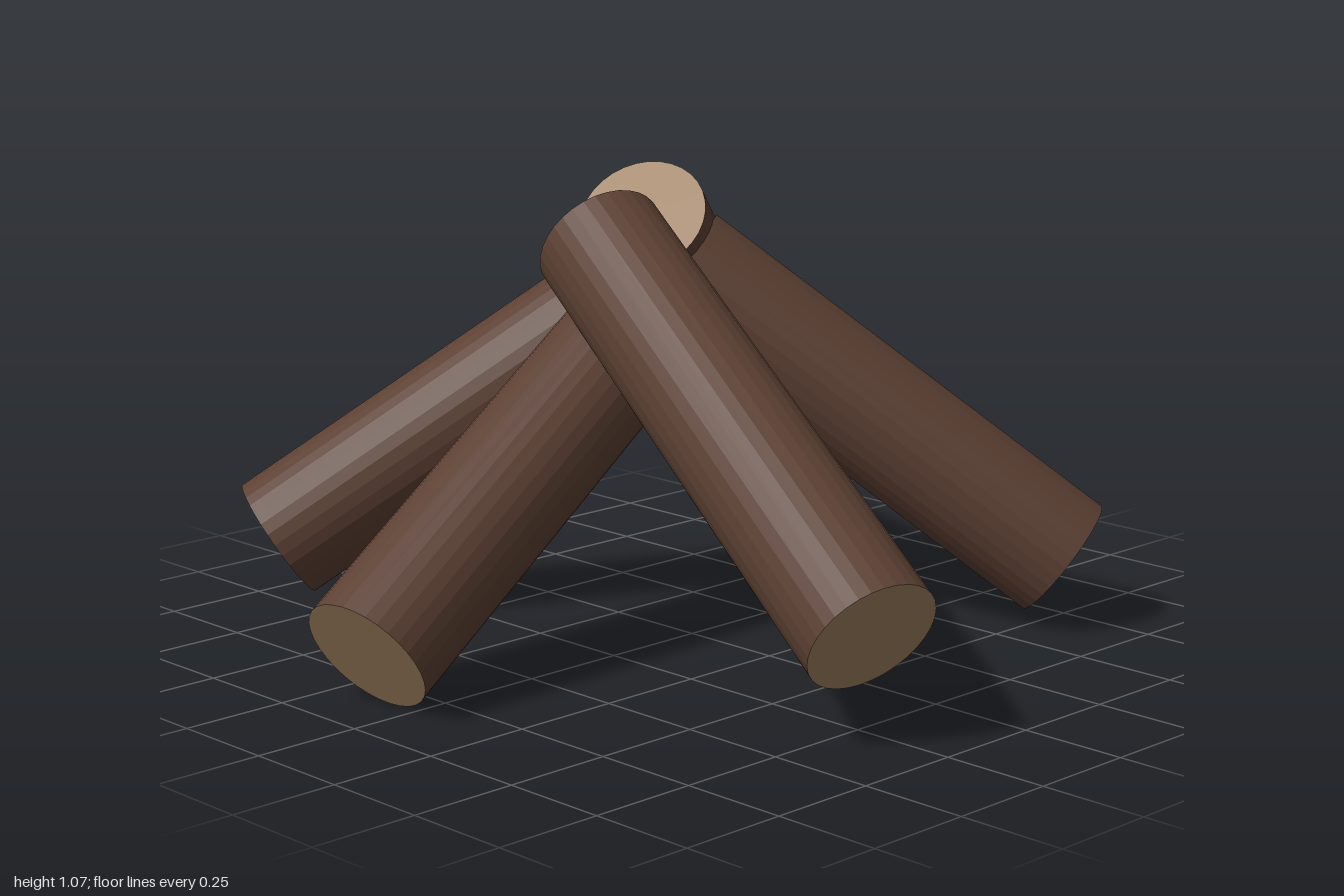
import * as THREE from 'three';

const RADIUS = 0.152;
const UP = new THREE.Vector3(0, 1, 0);

// Each log runs from its outer foot to where it leans on the others.
const LOGS = [
  { name: 'frontLog', foot: [-0.32, 0.245, 0.85], tip: [-0.09, 0.915, -0.21] },
  { name: 'frontLeftLog', foot: [0.7, 0.16, 0.53], tip: [0.13, 0.835, -0.18] },
  { name: 'backRightLog', foot: [-0.583, 0.195, -0.8], tip: [0.27, 0.89, -0.18] },
  { name: 'backLeftLog', foot: [0.893, 0.127, -0.595], tip: [0.02, 0.965, -0.185] },
  { name: 'rightLog', foot: [-0.915, 0.135, -0.06], tip: [0.15, 0.805, -0.19] },
];

export function createModel() {
  const group = new THREE.Group();
  group.name = 'campfireLogs';

  const bark = new THREE.MeshStandardMaterial({ color: 0x5c4033, flatShading: true });
  const cutWood = new THREE.MeshStandardMaterial({ color: 0xa08060 });

  for (const { name, foot, tip } of LOGS) {
    const a = new THREE.Vector3(...foot);
    const b = new THREE.Vector3(...tip);
    const axis = b.clone().sub(a);
    const length = axis.length();

    // Bark-covered side with a pale sawn face at both ends
    const log = new THREE.Mesh(
      new THREE.CylinderGeometry(RADIUS, RADIUS, length, 32),
      [bark, cutWood, cutWood]
    );
    log.name = name;
    log.position.copy(a).add(b).multiplyScalar(0.5);
    log.quaternion.setFromUnitVectors(UP, axis.normalize());
    group.add(log);
  }
  return group;
}
